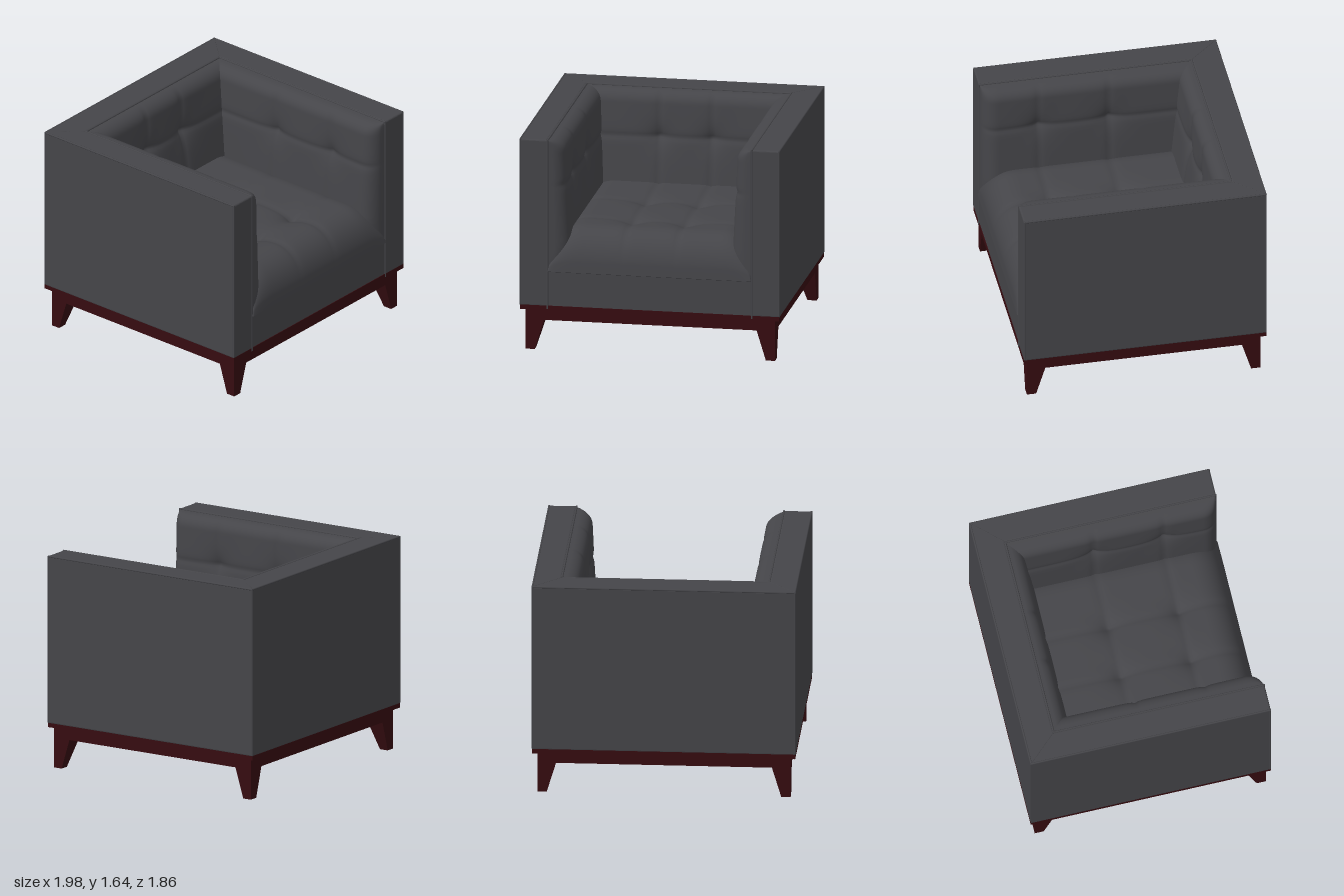
import * as THREE from 'three';

const fabric = new THREE.MeshStandardMaterial({ color: 0x454549 });
fabric.name = 'charcoal fabric';
const wood = new THREE.MeshStandardMaterial({ color: 0x360c10 });
wood.name = 'dark red wood';

function add(parent, name, geometry, material, x = 0, y = 0, z = 0) {
  const mesh = new THREE.Mesh(geometry, material);
  mesh.name = name;
  mesh.position.set(x, y, z);
  parent.add(mesh);
  return mesh;
}

// Rounded shoulder: 0 at the edge, 1 at distance r and beyond
function shoulder(d, r) {
  if (!r || d >= r) return 1;
  const p = 2.3;
  return Math.pow(1 - Math.pow(1 - Math.max(d, 0) / r, p), 1 / p);
}

// Tufted pad facing local +z. round = shoulder radii [left, right, bottom, top];
// seams run along x = seamsX and y = seamsY, with a button where they cross.
function tuftedPad({ x0, x1, y0, y1, depth, round, seamsX, seamsY, dimple = 0.07 }) {
  const n = 88;
  const geo = new THREE.PlaneGeometry(1, 1, n, n);
  const pos = geo.attributes.position;
  // vertices gather near the edges where the pad curves most
  const warp = (t) => 0.25 * t + 0.75 * (0.5 - 0.5 * Math.cos(Math.PI * t));
  for (let i = 0; i < pos.count; i++) {
    const v = warp(pos.getY(i) + 0.5);
    const x = x0 + (x1 - x0) * warp(pos.getX(i) + 0.5);
    const y = y0 + (y1 - y0) * v;
    const edge = shoulder(x - x0, round[0]) * shoulder(x1 - x, round[1])
      * shoulder(y - y0, round[2]) * shoulder(y1 - y, round[3]);
    let dent = 0;
    for (const s of seamsX) dent = Math.max(dent, 0.014 * Math.exp(-Math.abs(x - s) / 0.022));
    for (const s of seamsY) dent = Math.max(dent, 0.014 * Math.exp(-Math.abs(y - s) / 0.022));
    for (const sx of seamsX) {
      for (const sy of seamsY) dent += dimple * Math.exp(-Math.hypot(x - sx, y - sy) / 0.07);
    }
    pos.setXYZ(i, x, y, Math.max(0, depth(v) - dent) * edge);
  }
  geo.computeVertexNormals();
  return geo;
}

// Thin piping through a chain of points
function piping(parent, name, points, radius = 0.008) {
  const group = new THREE.Group();
  group.name = name;
  for (let i = 1; i < points.length; i++) {
    const a = new THREE.Vector3(...points[i - 1]);
    const b = new THREE.Vector3(...points[i]);
    const dir = b.clone().sub(a);
    const geo = new THREE.CylinderGeometry(radius, radius, dir.length() + radius, 8);
    const mesh = add(group, 'cord', geo, fabric);
    mesh.position.copy(a).lerp(b, 0.5);
    mesh.quaternion.setFromUnitVectors(new THREE.Vector3(0, 1, 0), dir.normalize());
  }
  parent.add(group);
}

// Square leg, straight on its outer faces and tapered on its inner ones
function legGeometry(sx, sz) {
  const geo = new THREE.BoxGeometry(0.14, 0.23, 0.14);
  const pos = geo.attributes.position;
  for (let i = 0; i < pos.count; i++) {
    if (pos.getY(i) > 0) continue;
    if (pos.getX(i) * sx < 0) pos.setX(i, 0);
    if (pos.getZ(i) * sz < 0) pos.setZ(i, 0);
  }
  const flat = geo.toNonIndexed();
  flat.computeVertexNormals();
  return flat;
}

export function createModel() {
  const chair = new THREE.Group();
  chair.name = 'tuftedArmchair';

  // U-shaped arms and back, all one height
  const outline = new THREE.Shape([
    [-0.99, -0.92], [-0.78, -0.92], [-0.78, 0.705], [0.78, 0.705],
    [0.78, -0.92], [0.99, -0.92], [0.99, 0.93], [-0.99, 0.93],
  ].map(([x, y]) => new THREE.Vector2(x, y)));
  const shell = new THREE.ExtrudeGeometry(outline, {
    depth: 1.27, bevelEnabled: true, bevelSize: 0.012, bevelThickness: 0.012,
    bevelOffset: -0.012, bevelSegments: 3,
  });
  shell.rotateX(-Math.PI / 2);
  add(chair, 'armsAndBack', shell, fabric, 0, 0.355, 0);

  // Seat base with its front panel
  add(chair, 'seatBase', new THREE.BoxGeometry(1.56, 0.285, 1.62), fabric, 0, 0.478, 0.105);

  // Seat cushion
  const seat = tuftedPad({
    x0: -0.775, x1: 0.775, y0: -0.93, y1: 0.7, depth: () => 0.322,
    round: [0.26, 0.26, 0.27, 0], seamsX: [-0.2, 0.2], seamsY: [-0.49, 0.05],
  });
  seat.rotateX(-Math.PI / 2);
  add(chair, 'seatCushion', seat, fabric, 0, 0.618, 0);

  // Back cushion, slimmer toward the top
  const back = tuftedPad({
    x0: -0.775, x1: 0.775, y0: 0.62, y1: 1.63, depth: (v) => 0.22 - 0.11 * v,
    round: [0, 0, 0, 0.1], seamsX: [-0.2, 0.2], seamsY: [1.28], dimple: 0.055,
  });
  add(chair, 'backCushion', back, fabric, 0, 0, -0.706);

  for (const s of [1, -1]) {
    const side = s > 0 ? 'left' : 'right';

    // Arm cushion, rounded at its front, top and bottom
    const arm = tuftedPad({
      x0: s > 0 ? -0.7 : -0.915, x1: s > 0 ? 0.915 : 0.7, y0: 0.62, y1: 1.63,
      depth: (v) => 0.175 - 0.05 * v,
      round: [s > 0 ? 0 : 0.13, s > 0 ? 0.13 : 0, 0.24, 0.1],
      seamsX: [-0.05 * s, 0.49 * s], seamsY: [1.28], dimple: 0.05,
    });
    arm.rotateY(-s * Math.PI / 2);
    add(chair, side + 'ArmCushion', arm, fabric, s * 0.779, 0, 0);

    // Piping on the arm fronts and outer edges
    piping(chair, side + 'OuterPiping', [
      [s * 0.984, 0.36, 0.914], [s * 0.984, 1.632, 0.914], [s * 0.984, 1.632, -0.924],
      [s * 0.984, 0.36, -0.924],
    ]);
    piping(chair, side + 'InnerPiping', [
      [s * 0.778, 0.33, 0.917], [s * 0.778, 1.632, 0.917], [s * 0.778, 1.632, -0.703],
    ]);
    // Mitred corner seam on the top
    piping(chair, side + 'CornerSeam', [[s * 0.78, 1.636, -0.705], [s * 0.982, 1.636, -0.922]], 0.003);
  }
  piping(chair, 'backInnerPiping', [[-0.778, 1.632, -0.703], [0.778, 1.632, -0.703]]);
  piping(chair, 'backOuterPiping', [[-0.984, 1.632, -0.924], [0.984, 1.632, -0.924]]);
  piping(chair, 'seatFrontPiping', [[-0.77, 0.62, 0.916], [0.77, 0.62, 0.916]]);

  // Wooden plinth under the upholstery
  add(chair, 'plinth', new THREE.BoxGeometry(1.975, 0.035, 1.85), wood, 0, 0.3325, -0.005);

  // Apron rails and corner legs
  for (const s of [1, -1]) {
    add(chair, s > 0 ? 'frontRail' : 'backRail',
      new THREE.BoxGeometry(1.9, 0.09, 0.05), wood, 0, 0.275, s * 0.865);
    add(chair, s > 0 ? 'leftRail' : 'rightRail',
      new THREE.BoxGeometry(0.05, 0.09, 1.78), wood, s * 0.925, 0.275, 0);
    for (const t of [1, -1]) {
      const name = (t > 0 ? 'front' : 'back') + (s > 0 ? 'Left' : 'Right') + 'Leg';
      add(chair, name, legGeometry(s, t), wood, s * 0.88, 0.115, t * 0.82);
      add(chair, name + 'Block', new THREE.BoxGeometry(0.138, 0.09, 0.138), wood,
        s * 0.88, 0.275, t * 0.82);
    }
  }
  return chair;
}
